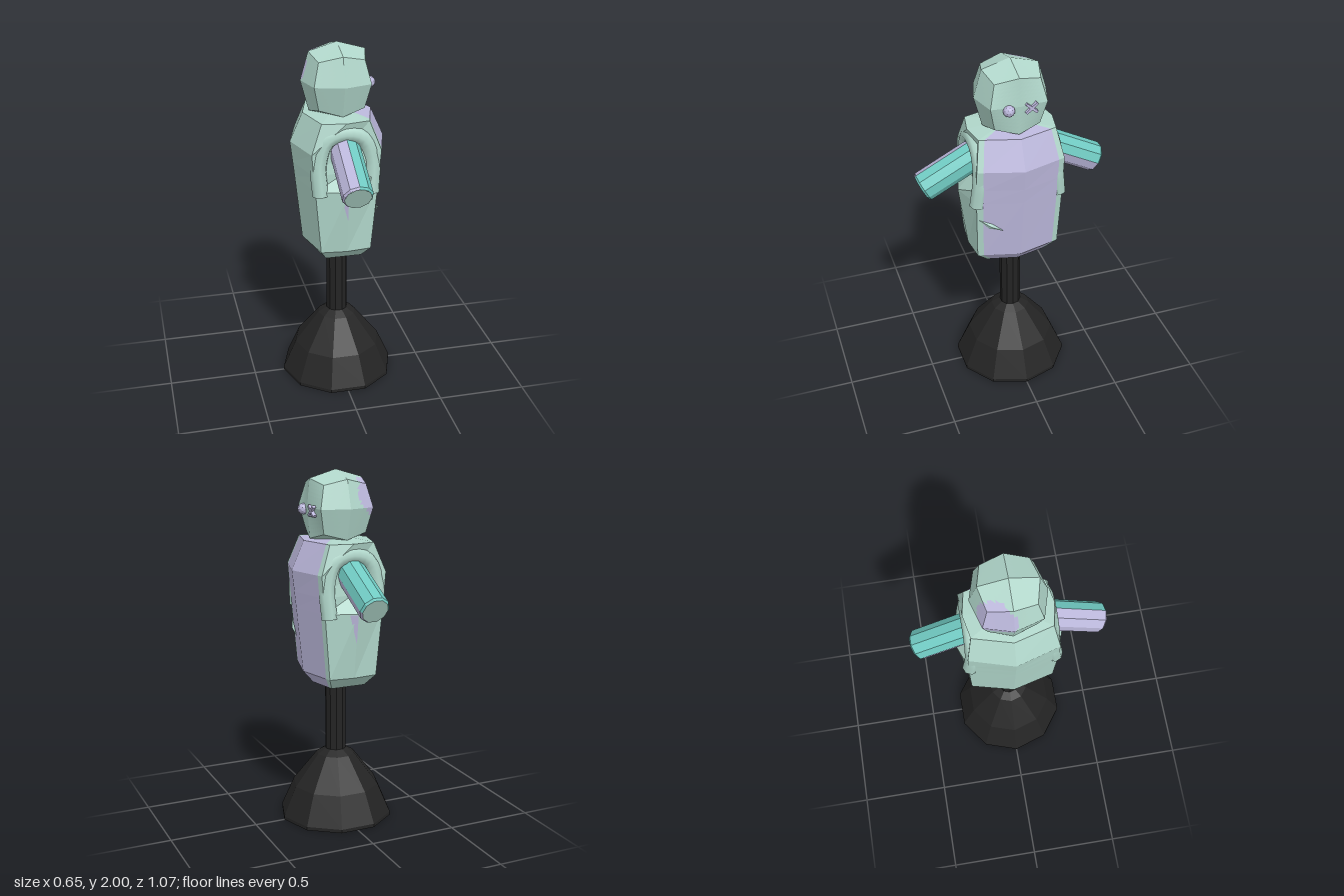
import * as THREE from 'three';

const mat = (name, color, extra = {}) => {
  const m = new THREE.MeshStandardMaterial({ color, ...extra });
  m.name = name;
  return m;
};

// Non-indexed flat geometry from a flat list of triangle corner points
function facets(points) {
  const g = new THREE.BufferGeometry().setFromPoints(points);
  g.computeVertexNormals();
  return g;
}

export function createModel() {
  const root = new THREE.Group();
  const green = mat('sage cloth', 0xb0d6ca, { flatShading: true });
  const lavender = mat('lavender cloth', 0xbcb8dc, { flatShading: true });
  const teal = mat('teal wrap', 0x70cac2, { flatShading: true });
  const black = mat('black stand', 0x242424, { flatShading: true });
  const softGreen = mat('sage seam', 0xb0d6ca);
  const V = (x, y, z) => new THREE.Vector3(x, y, z);
  const add = (name, geo, material, parent = root) => {
    const m = new THREE.Mesh(geo, material);
    m.name = name;
    parent.add(m);
    return m;
  };

  // Weighted base and pole, ten sided with a corner on +x
  const profile = [[0, 0], [0.325, 0], [0.325, 0.02], [0.25, 0.19], [0.11, 0.37], [0.06, 0.4], [0.06, 0.83]]
    .map(([r, y]) => new THREE.Vector2(r, y));
  add('stand', new THREE.LatheGeometry(profile, 10, Math.PI / 2), black);

  // Torso rings: y, half depth a (x), corner b,c, side bulge d (z)
  const rings = [
    [0.81, 0.14, 0.1, 0.17, 0.17], [0.88, 0.2, 0.14, 0.235, 0.25], [1.25, 0.238, 0.172, 0.245, 0.3],
    [1.34, 0.248, 0.18, 0.245, 0.22], [1.46, 0.262, 0.19, 0.245, 0.2], [1.62, 0.19, 0.13, 0.215, 0.24],
  ].map(([y, a, b, c, d]) => {
    const t = 0.86, e = a + (b - a) * t, f = c * t;
    return [[a, 0], [e, f], [b, c], [0, d], [-b, c], [-a, 0], [-b, -c], [0, -d], [b, -c], [e, -f]]
      .map(([x, z]) => V(x, y, z));
  });
  const plain = [], patch = [];
  const bottom = V(0, 0.81, 0), top = V(0, 1.645, 0);
  for (let i = 0; i < 10; i++) {
    const j = (i + 1) % 10;
    const out = i === 0 || i === 9 ? patch : plain;
    for (let k = 0; k < rings.length - 1; k++) {
      const p = rings[k], q = rings[k + 1];
      out.push(p[i], q[i], p[j], p[j], q[i], q[j]);
    }
    const lo = rings[0], hi = rings[rings.length - 1];
    out.push(lo[i], lo[j], bottom, hi[j], hi[i], top);
  }
  add('torso', facets(plain), green);
  add('torsoFrontPatch', facets(patch), lavender);

  // Head: cube sphere with a flattened face on +x and a round patch on the back
  const scales = [0, 0.2, 0.155, 0.125];
  const lattice = (x, y, z) => {
    const s = scales[Math.abs(x) + Math.abs(y) + Math.abs(z)];
    return V(Math.min(x * s, 0.168), y * s * (y < 0 ? 1.1 : 1), z * s);
  };
  const box = new THREE.BoxGeometry(2, 2, 2, 14, 14, 14).toNonIndexed();
  const pos = box.attributes.position;
  const place = (v) => {
    const sum = V(0, 0, 0), p = v.toArray();
    const lo = p.map((n) => Math.min(0, Math.floor(n + 1e-6)));
    for (let c = 0; c < 8; c++) {
      const corner = lo.map((n, i) => n + ((c >> i) & 1));
      const w = corner.reduce((s, n, i) => s * Math.max(0, 1 - Math.abs(p[i] - n)), 1);
      if (w > 1e-6) sum.addScaledVector(lattice(...corner), w);
    }
    return sum;
  };
  const headPlain = [], headPatch = [], spot = V(-0.15, 0.055, -0.085);
  for (let i = 0; i < pos.count; i += 3) {
    const tri = [0, 1, 2].map((k) => place(V(0, 0, 0).fromBufferAttribute(pos, i + k)));
    const mid = V(0, 0, 0).add(tri[0]).add(tri[1]).add(tri[2]).divideScalar(3);
    (mid.distanceTo(spot) < 0.115 ? headPatch : headPlain).push(...tri);
  }
  const head = new THREE.Group();
  head.name = 'head';
  head.position.y = 1.8;
  root.add(head);
  add('headCloth', facets(headPlain), green, head);
  add('headPatch', facets(headPatch), lavender, head);

  // Button eye and cross-stitched eye
  add('buttonEye', new THREE.IcosahedronGeometry(0.032, 1), lavender, head).position.set(0.166, -0.015, 0.06);
  for (const s of [-1, 1]) {
    const bar = add('crossEye', new THREE.BoxGeometry(0.025, 0.08, 0.014), lavender, head);
    bar.position.set(0.166, -0.015, -0.062);
    bar.rotation.x = s * 0.85;
  }

  // Arms, sleeve seams and under-arm patches, repeated on both sides
  for (const side of [1, -1]) {
    const name = side > 0 ? 'front' : 'back';
    const arm = new THREE.Group();
    arm.name = name + 'Arm';
    arm.position.set(0, 1.4, side * 0.317);
    arm.rotation.x = side * THREE.MathUtils.degToRad(117.5);
    root.add(arm);
    const start = side > 0 ? Math.PI : Math.PI / 2;
    [[lavender, start], [teal, start + Math.PI]].forEach(([m, a]) => {
      add('armWrap', new THREE.CylinderGeometry(0.084, 0.084, 0.39, 5, 1, true, a, Math.PI), m, arm);
      const rim = add('armRim', new THREE.CylinderGeometry(0.084, 0.074, 0.012, 5, 1, true, a, Math.PI), m, arm);
      rim.position.y = 0.201;
      rim.scale.y = -1;
      rim.geometry.scale(1, 1, 1);
    });
    const cap = add('armEnd', new THREE.CircleGeometry(0.074, 10), green, arm);
    cap.rotation.x = -Math.PI / 2;
    cap.position.y = 0.207;

    const half = new THREE.Group();
    half.name = name + 'Shoulder';
    half.rotation.y = side > 0 ? 0 : Math.PI;
    root.add(half);
    const arch = new THREE.CatmullRomCurve3([
      V(-0.14, 1.22, 0.23), V(-0.145, 1.4, 0.21), V(-0.1, 1.52, 0.205), V(0, 1.555, 0.205),
      V(0.1, 1.52, 0.205), V(0.145, 1.4, 0.21), V(0.14, 1.22, 0.23),
    ]);
    add('sleeveSeam', new THREE.TubeGeometry(arch, 24, 0.046, 8), softGreen, half);
    add('underarmPatch', facets([V(-0.045, 1.245, 0.29), V(0, 1.08, 0.281), V(0, 1.245, 0.303)]), lavender, half);
  }

  // Raised diamond tears on the +x side, given as [y, z] corners
  const tear = (name, corners, m) => {
    const pts = corners.map(([y, z]) => V(0.204 + 0.1034 * (y - 0.88) - 0.26 * Math.abs(z), y, z));
    const mid = pts.reduce((s, p) => s.add(p), V(0, 0, 0)).divideScalar(4);
    mid.x += 0.015;
    const tris = pts.flatMap((p, i) => [p, pts[(i + 1) % 4], mid]);
    add(name, facets(tris), m);
  };
  tear('chestTear', [[1.46, -0.12], [1.42, -0.03], [1.31, 0], [1.37, -0.075]].reverse(), lavender);
  tear('bellyTear', [[1.14, 0.23], [1.08, 0.18], [1.06, 0.1], [1.11, 0.16]], green);
  return root;
}
